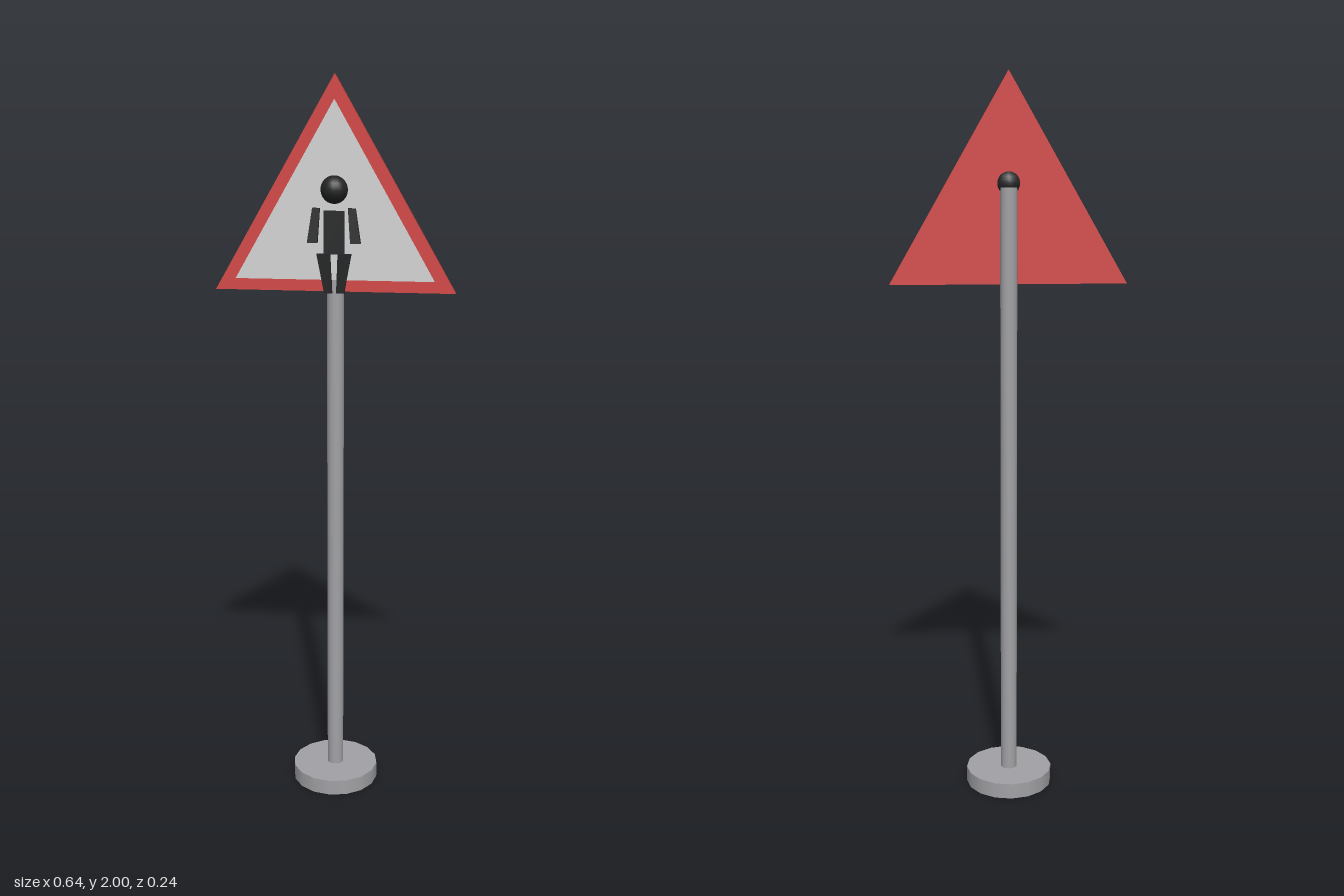
import * as THREE from 'three';

const mat = (name, color) => {
  const m = new THREE.MeshStandardMaterial({ color });
  m.name = name;
  return m;
};

export function createModel() {
  const group = new THREE.Group();
  const grey = mat('metal grey', 0xa2a2a6);
  const red = mat('sign red', 0xd34444);
  const white = mat('sign white', 0xd4d4d4);
  const black = mat('figure black', 0x222324);

  const add = (name, geometry, material, x, y, z) => {
    const mesh = new THREE.Mesh(geometry, material);
    mesh.name = name;
    mesh.position.set(x, y, z);
    group.add(mesh);
    return mesh;
  };

  // Upright triangular plate, back face at local z = 0
  const triangle = (halfWidth, bottom, top, depth) => {
    const shape = new THREE.Shape([
      new THREE.Vector2(-halfWidth, bottom),
      new THREE.Vector2(halfWidth, bottom),
      new THREE.Vector2(0, top),
    ]);
    return new THREE.ExtrudeGeometry(shape, { depth, bevelEnabled: false });
  };

  // Foot and post
  add('base', new THREE.CylinderGeometry(0.122, 0.122, 0.044, 16), grey, 0, 0.022, 0);
  add('post', new THREE.CylinderGeometry(0.023, 0.023, 1.66, 16), grey, 0, 0.87, -0.001);

  // Sign: red backing with a thin white face
  add('signBoard', triangle(0.32, 1.445, 2, 0.02), red, 0, 0, 0);
  add('signFace', triangle(0.265, 1.476, 1.938, 0.005), white, 0, 0, 0.02);

  // Walking figure
  add('head', new THREE.SphereGeometry(0.037, 16, 12), black, 0, 1.711, 0.02);
  add('torso', new THREE.BoxGeometry(0.054, 0.112, 0.03), black, 0, 1.601, 0.019);

  // Square-section limb between two heights, with its own width and centre at each end
  const limb = (name, top, bottom, depth, z) => {
    const height = top.y - bottom.y;
    const geometry = new THREE.BoxGeometry(1, height, depth);
    const p = geometry.attributes.position;
    for (let i = 0; i < p.count; i++) {
      const end = p.getY(i) > 0 ? top : bottom;
      p.setX(i, end.x + p.getX(i) * end.w);
      p.setZ(i, p.getZ(i) + end.dz);
    }
    geometry.computeVertexNormals();
    add(name, geometry, black, 0, (top.y + bottom.y) / 2, z);
  };
  for (const [side, s] of [['left', 1], ['right', -1]]) {
    limb(side + 'Arm', { x: 0.047 * s, y: 1.664, w: 0.02, dz: 0 },
      { x: 0.057 * s, y: 1.574, w: 0.027, dz: 0.005 }, 0.02, 0.024);
    limb(side + 'Leg', { x: 0.028 * s, y: 1.545, w: 0.036, dz: 0.003 },
      { x: 0.016 * s, y: 1.441, w: 0.021, dz: -0.002 }, 0.026, 0.019);
  }
  return group;
}
